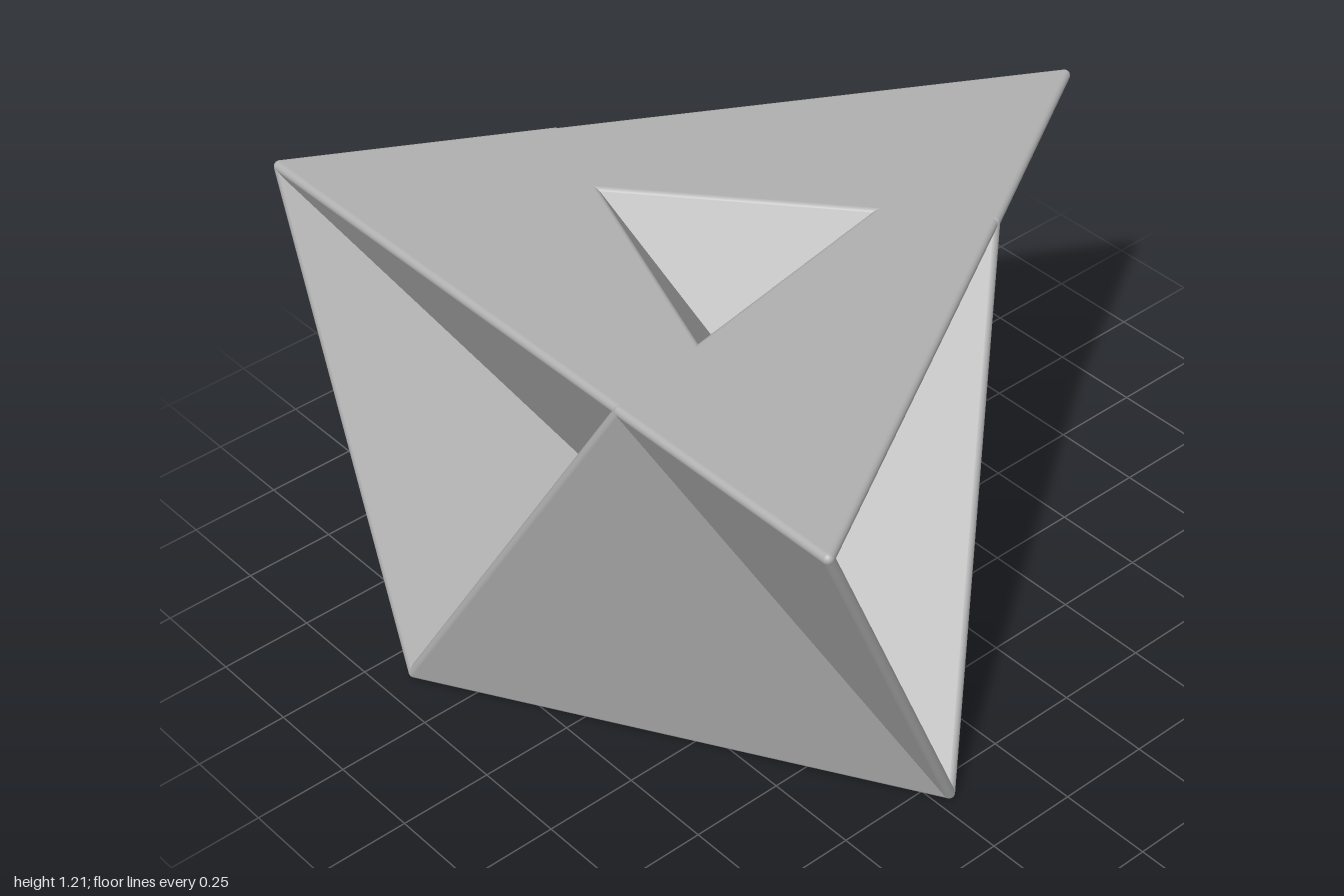
import * as THREE from 'three';

const R = 0.015;        // half the sheet thickness, also the edge rounding
const AXIS_Z = 0.215;   // z of the vertical axis of threefold symmetry

// Three copies of a point turned around the vertical axis
function ring(x, y, z) {
  return [0, 1, 2].map((k) =>
    new THREE.Vector3(x, y, z)
      .applyAxisAngle(new THREE.Vector3(0, 1, 0), (k * 2 * Math.PI) / 3)
      .add(new THREE.Vector3(0, 0, AXIS_Z)));
}

// Thin triangular sheet: two parallel faces, one on each side of the corners
function sheetGeometry(a, b, c) {
  const n = new THREE.Vector3().subVectors(b, a)
    .cross(new THREE.Vector3().subVectors(c, a)).setLength(R);
  const points = [
    ...[a, b, c].map((p) => p.clone().add(n)),
    ...[a, c, b].map((p) => p.clone().sub(n)),
  ];
  const geometry = new THREE.BufferGeometry().setFromPoints(points);
  geometry.computeVertexNormals();
  return geometry;
}

export function createModel() {
  const model = new THREE.Group();
  model.name = 'selfCrossingSurface';
  const grey = new THREE.MeshStandardMaterial({ color: 0xb0b0b0 });
  grey.name = 'grey';

  const top = ring(-0.985, 1.195, 0.57);   // corners of the top triangle
  const low = ring(-0.403, 0.015, 0.70);   // corners of the base
  const mid = ring(0.31, 1.195, 0.572);    // points along the top edges

  const add = (name, geometry) => {
    const mesh = new THREE.Mesh(geometry, grey);
    mesh.name = name;
    model.add(mesh);
    return mesh;
  };
  const sheet = (name, a, b, c) => add(name, sheetGeometry(a, b, c));

  // Rounded rim between two corners
  const rim = (a, b) => {
    const d = new THREE.Vector3().subVectors(b, a);
    const mesh = add('roundedEdge', new THREE.CylinderGeometry(R, R, d.length(), 16, 1, true));
    mesh.position.addVectors(a, b).multiplyScalar(0.5);
    mesh.quaternion.setFromUnitVectors(new THREE.Vector3(0, 1, 0), d.normalize());
  };

  sheet('baseSheet', low[0], low[1], low[2]);

  for (let k = 0; k < 3; k++) {
    const next = (k + 1) % 3;
    const prev = (k + 2) % 3;
    const [t0, t1, t2] = [top[k], top[next], top[prev]];
    const [d0, d1, e] = [low[k], low[next], mid[k]];

    // Sheets of one third of the surface
    sheet('topSheet', t2, e, t1);
    sheet('slantedPanel', t2, t0, d0);
    sheet('innerWall', t2, e, d0);
    sheet('outerWall', e, d0, d1);
    sheet('cornerWall', t1, e, d1);

    // Rims and rounded corners
    [[t2, t0], [t0, d0], [t2, d0], [t2, e], [e, t1], [e, d0], [e, d1], [d0, d1]]
      .forEach(([a, b]) => rim(a, b));
    [t0, d0, e].forEach((p) =>
      add('roundedCorner', new THREE.SphereGeometry(R, 16, 12)).position.copy(p));
  }
  return model;
}
